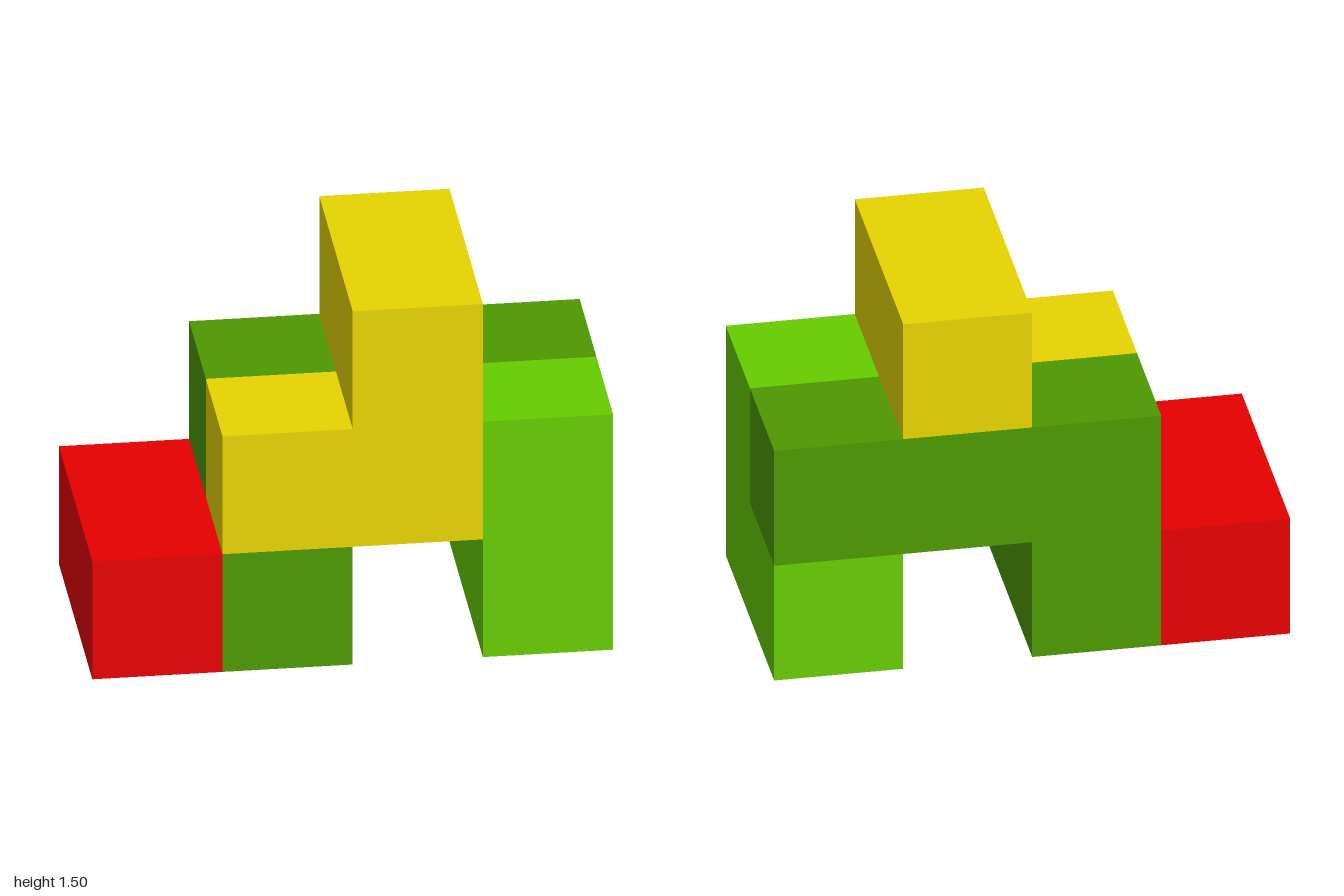
import * as THREE from 'three';

const CELL = 0.5;

const material = (name, color) => {
  const m = new THREE.MeshStandardMaterial({ color });
  m.name = name;
  return m;
};

// One box given by its lower and upper corners, counted in cells
function block(name, mat, [x0, y0, z0], [x1, y1, z1]) {
  const geometry = new THREE.BoxGeometry((x1 - x0) * CELL, (y1 - y0) * CELL, (z1 - z0) * CELL);
  const mesh = new THREE.Mesh(geometry, mat);
  mesh.position.set((x0 + x1) / 2, (y0 + y1) / 2, (z0 + z1) / 2).multiplyScalar(CELL);
  mesh.name = name;
  return mesh;
}

function piece(name, ...blocks) {
  const group = new THREE.Group();
  group.name = name;
  group.add(...blocks);
  return group;
}

export function createModel() {
  const red = material('red', 0xe60000);
  const yellow = material('yellow', 0xe6d400);
  const lightGreen = material('light green', 0x66cc00);
  const darkGreen = material('dark green', 0x4d9900);

  const model = new THREE.Group();
  model.name = 'blockPuzzle';
  model.add(
    // low bar at the right end
    piece('redPiece',
      block('redBar', red, [-2, 0, -1], [-1, 1, 1])),
    // foot with a beam running along the back
    piece('darkGreenPiece',
      block('darkGreenFoot', darkGreen, [-1, 0, -1], [0, 1, 1]),
      block('darkGreenBeam', darkGreen, [-1, 1, -1], [2, 2, 0])),
    // front bridge carrying the top bar
    piece('yellowPiece',
      block('yellowBridge', yellow, [-1, 1, 0], [1, 2, 1]),
      block('yellowTopBar', yellow, [0, 2, -1], [1, 3, 1])),
    // L-shaped leg at the left end
    piece('lightGreenPiece',
      block('lightGreenFoot', lightGreen, [1, 0, -1], [2, 1, 1]),
      block('lightGreenPost', lightGreen, [1, 1, 0], [2, 2, 1])),
  );
  return model;
}
